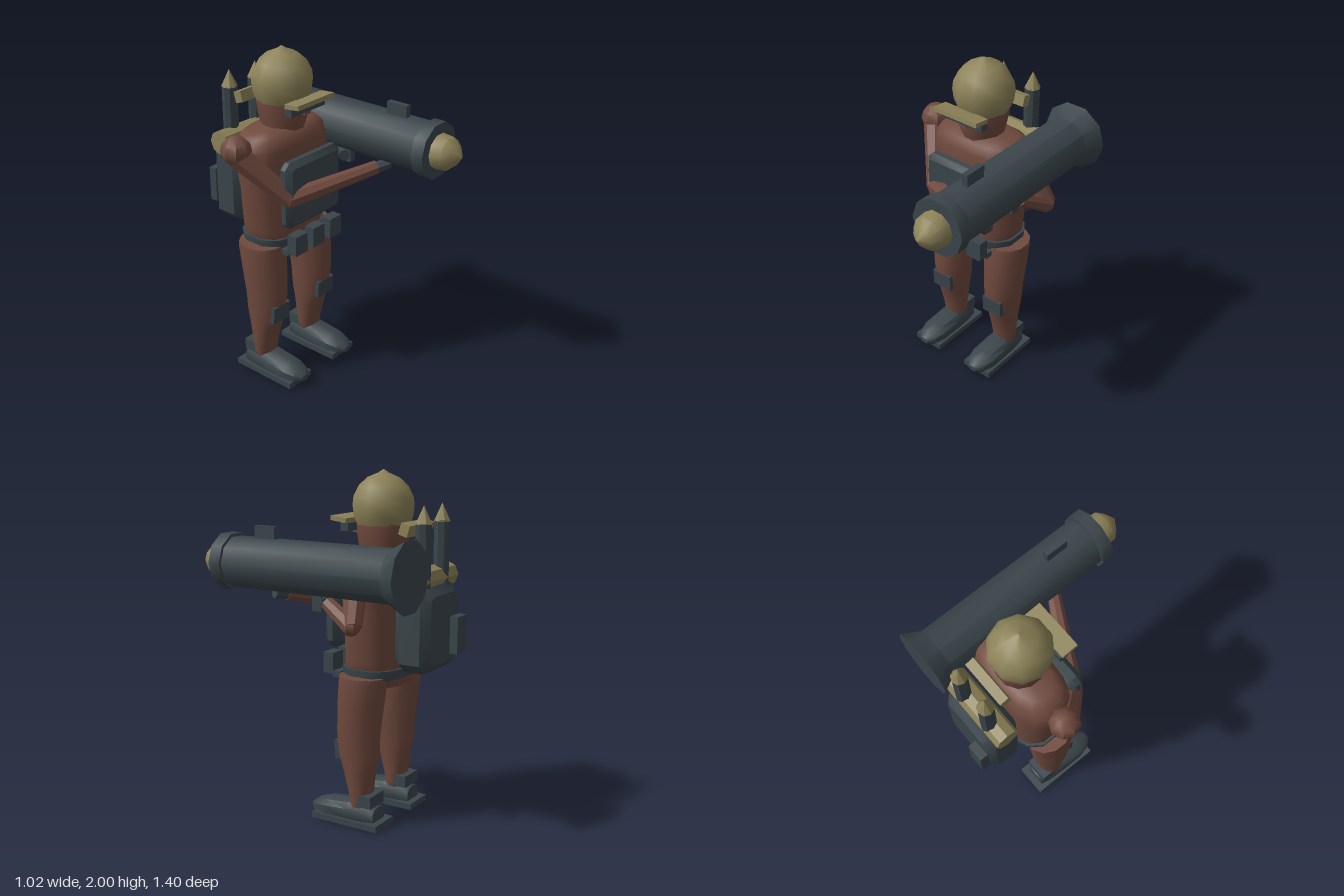
import * as THREE from 'three';
import { toCreasedNormals } from 'three/addons/utils/BufferGeometryUtils.js';

const mat = (color) => new THREE.MeshStandardMaterial({ color, side: THREE.DoubleSide });
const CX = -0.06, CZ = -0.275; // body axis

export function createModel() {
  const root = new THREE.Group();
  const brown = mat(0x704a3e), dark = mat(0x3a454a), gold = mat(0x8c8258);

  function add(name, geo, material, x = 0, y = 0, z = 0, parent = root) {
    const mesh = new THREE.Mesh(toCreasedNormals(geo, 0.7), material);
    mesh.name = name;
    mesh.position.set(x, y, z);
    parent.add(mesh);
    return mesh;
  }

  // Skin through rings [y, centreX, centreZ, radiusX, radiusZ], ascending; power < 1 squares the section
  function loft(rings, n = 10, power = 1) {
    const pos = [], idx = [];
    const bend = (v) => Math.sign(v) * Math.pow(Math.abs(v), power);
    for (const [y, cx, cz, rx, rz] of rings)
      for (let j = 0; j < n; j++) {
        const t = ((j + 0.5) / n) * Math.PI * 2;
        pos.push(cx + rx * bend(Math.cos(t)), y, cz + rz * bend(Math.sin(t)));
      }
    for (let i = 0; i < rings.length - 1; i++)
      for (let j = 0; j < n; j++) {
        const a = i * n + j, b = i * n + (j + 1) % n;
        idx.push(a, a + n, b, b, a + n, b + n);
      }
    const last = rings.length - 1, base = rings.length * n;
    for (const r of [rings[0], rings[last]]) pos.push(r[1], r[0], r[2]);
    for (let j = 0; j < n; j++) {
      const k = (j + 1) % n;
      idx.push(base, j, k, base + 1, last * n + k, last * n + j);
    }
    const g = new THREE.BufferGeometry();
    g.setAttribute('position', new THREE.Float32BufferAttribute(pos, 3));
    g.setIndex(idx);
    return g;
  }

  const box = (w, h, d) => new THREE.BoxGeometry(w, h, d);

  // Box with chamfered edges and cut corners
  function chamferBox(w, h, d, c) {
    const x = w / 2 - c, y = h / 2 - c, k = c * 0.6;
    const s = new THREE.Shape([[-x + k, -y], [x - k, -y], [x, -y + k], [x, y - k],
      [x - k, y], [-x + k, y], [-x, y - k], [-x, -y + k]].map((p) => new THREE.Vector2(...p)));
    return new THREE.ExtrudeGeometry(s, { depth: d - 2 * c, bevelSize: c, bevelThickness: c, bevelSegments: 1 })
      .translate(0, 0, c - d / 2);
  }

  const lathe = (pts, n = 10) =>
    new THREE.LatheGeometry(pts.map((p) => new THREE.Vector2(...p)), n, Math.PI / 2);

  function limb(name, a, b, ra, rb, material = brown) {
    const A = new THREE.Vector3(...a), B = new THREE.Vector3(...b), dir = B.clone().sub(A);
    const m = add(name, new THREE.CylinderGeometry(rb, ra, dir.length(), 8), material);
    m.position.copy(A).add(B).multiplyScalar(0.5);
    m.quaternion.setFromUnitVectors(new THREE.Vector3(0, 1, 0), dir.normalize());
  }

  const ball = (name, p, r, material = brown) =>
    add(name, new THREE.SphereGeometry(r, 8, 6), material, ...p);

  // Torso and belt
  add('torso', loft([
    [0.81, CX, CZ, 0.17, 0.15], [0.88, CX, CZ, 0.24, 0.165], [0.96, CX, CZ, 0.26, 0.165],
    [1.2, CX, CZ, 0.28, 0.165], [1.36, CX, CZ, 0.31, 0.17], [1.47, CX, CZ, 0.31, 0.17],
    [1.53, CX, CZ, 0.27, 0.15], [1.56, CX, CZ, 0.22, 0.11]], 14, 0.75), brown);
  add('belt', loft([[0.865, CX, CZ, 0.262, 0.18], [0.92, CX, CZ, 0.268, 0.182]], 12, 0.75), dark);
  for (const dx of [-0.15, 0, 0.15]) add('beltPouch', box(0.1, 0.12, 0.065), dark, CX + dx, 0.92, -0.033);
  add('beltStrip', box(0.4, 0.035, 0.05), dark, CX, 0.86, -0.085);
  add('chestPlate', chamferBox(0.455, 0.4, 0.09, 0.03), dark, CX, 1.22, -0.065);

  // Head and helmet
  add('head', loft([[1.53, CX, -0.265, 0.12, 0.125], [1.6, CX, -0.265, 0.13, 0.145],
    [1.66, CX, -0.265, 0.142, 0.152], [1.74, CX, -0.265, 0.145, 0.155]], 12), brown);
  add('nose', box(0.045, 0.03, 0.04), brown, CX, 1.66, -0.1);
  add('goggles', box(0.28, 0.045, 0.05), dark, CX, 1.685, -0.1);
  add('helmet', lathe([[0, 1.7], [0.15, 1.7], [0.167, 1.74], [0.175, 1.8], [0.17, 1.85],
    [0.14, 1.91], [0.09, 1.955], [0.03, 1.98], [0, 2]]), gold, CX, 0, -0.265);
  add('helmetBrim', box(0.3, 0.026, 0.1), gold, CX, 1.727, -0.065).rotation.x = -0.12;
  add('neckGuard', box(0.28, 0.065, 0.055), gold, CX, 1.69, -0.475).rotation.x = -0.3;

  // Backpack with bedroll and spare rockets
  add('backpack', chamferBox(0.4, 0.47, 0.215, 0.045), dark, CX, 1.155, -0.55);
  add('packPocket', box(0.105, 0.21, 0.05), dark, -0.18, 1.105, -0.68);
  add('bedroll', new THREE.CylinderGeometry(0.07, 0.07, 0.46, 8).rotateZ(Math.PI / 2), gold, CX, 1.42, -0.55);
  for (const dx of [-0.105, 0.105]) {
    add('spareRocket', new THREE.CylinderGeometry(0.045, 0.045, 0.4, 8), dark, CX + dx, 1.53, -0.575);
    add('spareRocketTip', new THREE.ConeGeometry(0.047, 0.1, 8), gold, CX + dx, 1.775, -0.575);
  }

  // Legs and boots
  for (const s of [-1, 1]) {
    const leg = new THREE.Group();
    leg.name = s > 0 ? 'leftLeg' : 'rightLeg';
    leg.position.x = CX + s * 0.2;
    root.add(leg);
    add('leg', loft([
      [0.12, 0, -0.262, 0.075, 0.062], [0.2, 0, -0.258, 0.083, 0.07], [0.32, 0, -0.248, 0.093, 0.095],
      [0.42, 0, -0.24, 0.103, 0.122], [0.55, 0, -0.237, 0.113, 0.13], [0.72, 0, -0.25, 0.126, 0.138],
      [0.84, 0, -0.262, 0.13, 0.142], [0.88, 0, -0.265, 0.128, 0.14]], 12), brown, 0, 0, 0, leg);
    add('kneePad', box(0.135, 0.11, 0.06), dark, 0, 0.445, -0.15, leg).rotation.x = 0.08;
    add('sole', box(0.195, 0.035, 0.43), dark, 0, 0.028, -0.195, leg);
    // boot rings run heel to toe, then the axis is turned to z
    add('boot', loft([
      [-0.37, 0, -0.07, 0.065, 0.055], [-0.3, 0, -0.075, 0.08, 0.072], [-0.2, 0, -0.075, 0.085, 0.072],
      [-0.05, 0, -0.068, 0.085, 0.063], [0.02, 0, -0.062, 0.065, 0.047], [0.06, 0, -0.06, 0.03, 0.018]], 10, 0.8)
      .rotateX(Math.PI / 2), dark, 0, 0, 0, leg);
    add('ankleCuff', box(0.15, 0.07, 0.1), dark, 0, 0.165, -0.31, leg);
  }

  // Right arm reaches across the chest to steady the launcher
  ball('rightShoulder', [-0.425, 1.49, -0.28], 0.088);
  limb('rightUpperArm', [-0.43, 1.47, -0.28], [-0.24, 1.2, -0.06], 0.072, 0.056);
  ball('rightElbow', [-0.24, 1.2, -0.06], 0.056);
  limb('rightForearm', [-0.24, 1.2, -0.06], [0.22, 1.31, 0.19], 0.056, 0.04);
  limb('rightHand', [0.21, 1.305, 0.185], [0.29, 1.32, 0.225], 0.034, 0.034, dark);

  // Left arm folds under the launcher to the trigger grip
  ball('leftShoulder', [0.21, 1.44, -0.28], 0.08);
  limb('leftUpperArm', [0.24, 1.42, -0.28], [0.36, 1.2, -0.33], 0.065, 0.052);
  ball('leftElbow', [0.355, 1.2, -0.32], 0.054);
  limb('leftForearm', [0.355, 1.2, -0.32], [0.31, 1.3, -0.14], 0.052, 0.04);
  limb('leftHand', [0.31, 1.3, -0.14], [0.25, 1.3, -0.07], 0.035, 0.035, dark);

  // Shoulder launcher pointing forward
  const launcher = new THREE.Group();
  launcher.name = 'launcher';
  launcher.position.set(0.305, 1.48, 0);
  root.add(launcher);
  const turned = (name, pts, material) =>
    add(name, lathe(pts).rotateX(Math.PI / 2), material, 0, 0, 0, launcher);
  turned('launchTube', [[0, -0.643], [0.2, -0.643], [0.147, -0.545], [0.147, 0.48]], dark);
  turned('muzzleRing', [[0.145, 0.475], [0.165, 0.475], [0.165, 0.55], [0.135, 0.55], [0, 0.55]], dark);
  turned('warhead', [[0.103, 0.545], [0.095, 0.62], [0.06, 0.66], [0, 0.7]], gold);
  add('sight', box(0.035, 0.08, 0.135), dark, 0, 0.17, 0.268, launcher);
  add('triggerGrip', box(0.04, 0.12, 0.06), dark, 0, -0.17, -0.08, launcher);

  return root;
}
